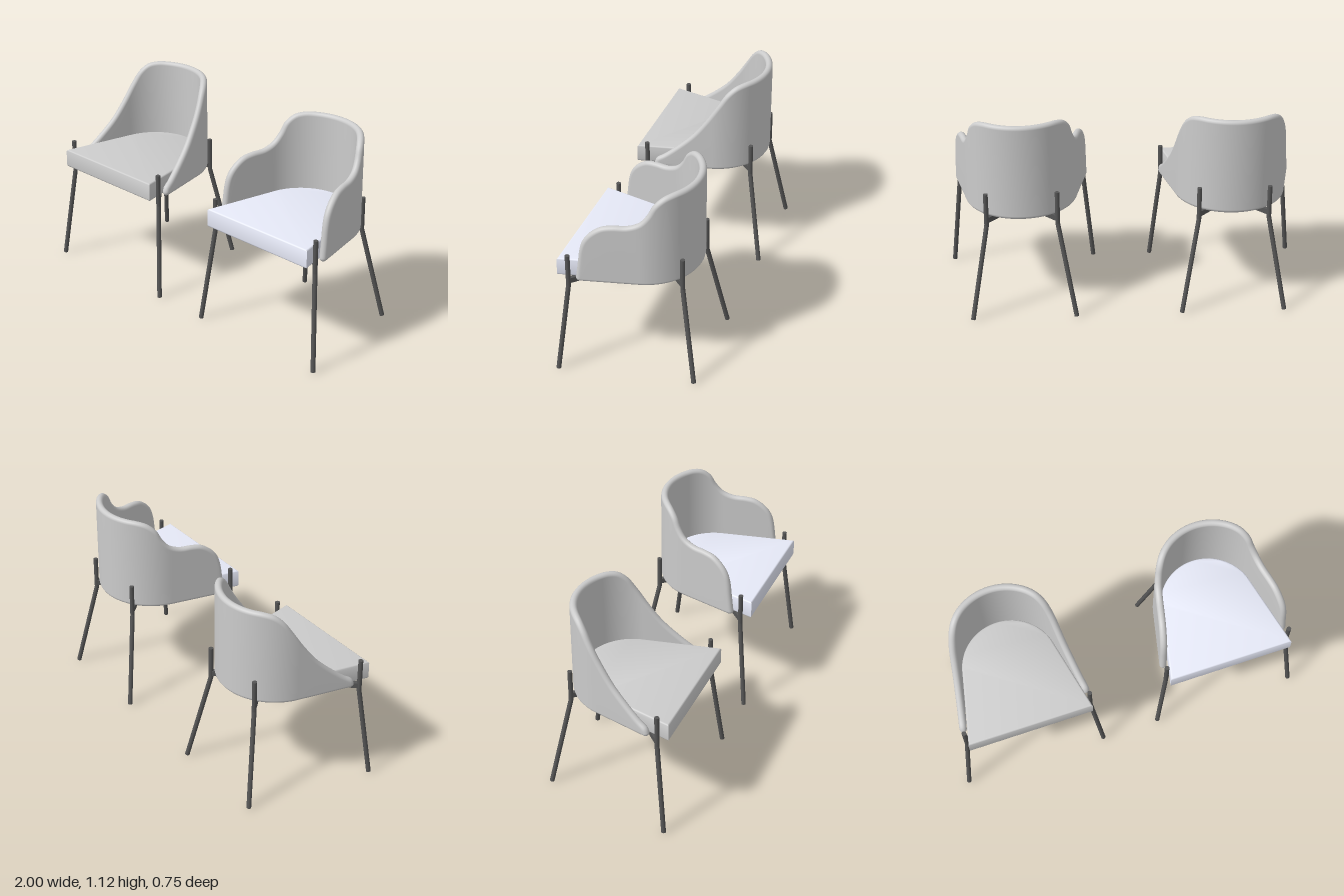
import * as THREE from 'three';
import { toCreasedNormals } from 'three/addons/utils/BufferGeometryUtils.js';

const grey = new THREE.MeshStandardMaterial({ color: 0xcccccc });
const pale = new THREE.MeshStandardMaterial({ color: 0xe6e9f7 });
const dark = new THREE.MeshStandardMaterial({ color: 0x555555 });

// Plan of the shell: a round back that runs tangentially into two splayed sides
const R = 0.29, A0 = 1.347, ARC = R * A0, HALF = 0.02, BASE = 0.58;

function planPoint(s, off) {
  const a = Math.min(Math.abs(s) / R, A0), t = Math.max(Math.abs(s) - ARC, 0);
  const x = Math.sin(a) * (R + off) + t * Math.cos(A0);
  const z = -Math.cos(a) * (R + off) + t * Math.sin(A0);
  return [Math.sign(s) * x, z];
}

// Distance along the plan at which its outer face reaches depth z
function lengthAt(z) {
  const r = R + HALF, zTangent = -r * Math.cos(A0);
  return z < zTangent ? R * Math.acos(Math.min(1, -z / r)) : ARC + (z - zTangent) / Math.sin(A0);
}

// Bent panel with a rounded rim; profile lists [z, y] of its top edge, front to back
function shellGeometry(profile) {
  const curve = new THREE.CatmullRomCurve3(
    [...profile.map(([z, y]) => new THREE.Vector3(lengthAt(z), y, 0)),
      new THREE.Vector3(0.15, 1.12, 0), new THREE.Vector3(0, 1.12, 0)], false, 'centripetal');
  const low = BASE + HALF, N = 70;
  const stations = [];
  for (let i = 0; i <= N; i++) {
    const p = curve.getPointAt(i / N), t = curve.getTangentAt(i / N);
    const n = i === N ? [0, -1] : [-t.y, t.x];
    stations.push({ s: p.x + n[0] * HALF, y: Math.max(low, p.y + n[1] * HALF), n });
  }
  // round the lower front corner
  const first = stations[0], corner = [];
  const end = (Math.atan2(first.n[1], first.n[0]) + 2 * Math.PI) % (2 * Math.PI);
  for (let i = 0; i < 5; i++) {
    const a = THREE.MathUtils.lerp(Math.PI / 2, end, i / 5);
    corner.push({ ...first, n: [Math.cos(a), Math.sin(a)] });
  }
  const half = [...corner, ...stations];
  const mirrored = half.slice(0, -1).reverse().map(({ s, y, n }) => ({ s: -s, y, n: [-n[0], n[1]] }));
  const all = [...half, ...mirrored];

  const M = 8, ring = 2 * (M + 1), positions = [], index = [];
  const add = (s, y, off) => {
    const [x, z] = planPoint(s, off);
    positions.push(x, y, z);
  };
  for (const { s, y, n } of all) {
    for (let j = 0; j <= M; j++) {
      const a = Math.PI * j / M, out = HALF * Math.sin(a);
      add(s - n[0] * out, y - n[1] * out, HALF * Math.cos(a));
    }
    for (let j = 0; j <= M; j++) {
      const a = Math.PI * (1 + j / M);
      add(s, low + HALF * Math.sin(a), HALF * Math.cos(a));
    }
  }
  for (let i = 0; i < all.length - 1; i++) {
    for (let j = 0; j < ring; j++) {
      const k = (j + 1) % ring, a = i * ring, b = a + ring;
      index.push(a + j, b + j, a + k, b + j, b + k, a + k);
    }
  }
  const g = new THREE.BufferGeometry();
  g.setAttribute('position', new THREE.Float32BufferAttribute(positions, 3));
  g.setIndex(index);
  g.computeVertexNormals();
  return g;
}

// Cushion that fills the inside of the shell and projects in front of it
function seatGeometry() {
  const bevel = 0.012, front = 0.365, points = [];
  for (let i = 0; i <= 40; i++) {
    const [x, z] = planPoint(THREE.MathUtils.lerp(-ARC, ARC, i / 40), -HALF - 0.003);
    points.push(new THREE.Vector2(x, -z));
  }
  points.push(new THREE.Vector2(0.352, -front));
  points.unshift(new THREE.Vector2(-0.352, -front));
  const g = new THREE.ExtrudeGeometry(new THREE.Shape(points), {
    depth: 0.105 - 2 * bevel, bevelEnabled: true, bevelThickness: bevel,
    bevelSize: bevel, bevelOffset: -bevel, bevelSegments: 4,
  });
  g.rotateX(-Math.PI / 2).translate(0, BASE + bevel, 0);
  return toCreasedNormals(g, 0.6);
}

function addMesh(parent, name, geometry, material) {
  const mesh = new THREE.Mesh(geometry, material);
  mesh.name = name;
  parent.add(mesh);
  return mesh;
}

function rod(parent, name, a, b, radius) {
  const mesh = addMesh(parent, name, new THREE.CylinderGeometry(radius, radius, a.distanceTo(b), 16), dark);
  mesh.position.copy(a).lerp(b, 0.5);
  mesh.quaternion.setFromUnitVectors(new THREE.Vector3(0, 1, 0), b.clone().sub(a).normalize());
}

// Upright post that bends outwards below the seat
function leg(name, side, top, foot) {
  const g = new THREE.Group(), radius = 0.0128;
  g.name = name;
  const bend = new THREE.Vector3(side * top[0], 0.535, top[1]);
  rod(g, 'legPost', bend, new THREE.Vector3(side * top[0], 0.72, top[1]), radius);
  rod(g, 'legShaft', new THREE.Vector3(side * foot[0], 0.003, foot[1]), bend, radius);
  addMesh(g, 'legBend', new THREE.SphereGeometry(radius, 16, 10), dark).position.copy(bend);
  return g;
}

function chair(name, profile, seatMaterial) {
  const g = new THREE.Group();
  g.name = name;
  addMesh(g, 'shell', shellGeometry(profile), grey);
  addMesh(g, 'seat', seatGeometry(), seatMaterial);
  const front = [0.355, 0.302], rear = [0.192, -0.266];
  for (const side of [1, -1]) {
    const label = side > 0 ? 'Left' : 'Right';
    g.add(leg('front' + label + 'Leg', side, front, [0.41, 0.36]));
    g.add(leg('rear' + label + 'Leg', side, rear, [0.285, -0.36]));
    // diagonal bar from a front leg to the opposite rear leg
    const dx = side * (front[0] + rear[0]), dz = front[1] - rear[1];
    const bar = addMesh(g, 'crossBar', new THREE.BoxGeometry(0.022, 0.03, Math.hypot(dx, dz)), dark);
    bar.position.set(side * (front[0] - rear[0]) / 2, 0.565, (front[1] + rear[1]) / 2);
    bar.rotation.y = Math.atan2(dx, dz);
  }
  return g;
}

export function createModel() {
  const model = new THREE.Group();
  model.name = 'chairPair';
  const sweptBack = [[0.252, 0.6], [0.243, 0.628], [0.2, 0.657], [0.14, 0.705], [0.04, 0.8],
    [-0.035, 0.9], [-0.1, 1.0], [-0.145, 1.065], [-0.19, 1.104], [-0.234, 1.118]];
  const withArms = [[0.252, 0.6], [0.24, 0.69], [0.228, 0.778], [0.212, 0.83], [0.18, 0.876],
    [0.12, 0.92], [0.062, 0.932], [-0.012, 0.936], [-0.07, 0.96], [-0.112, 1.006],
    [-0.145, 1.065], [-0.19, 1.104], [-0.234, 1.118]];
  const sideChair = chair('sideChair', sweptBack, grey);
  const armChair = chair('armChair', withArms, pale);
  sideChair.position.x = -0.577;
  armChair.position.x = 0.577;
  model.add(sideChair, armChair);
  return model;
}
